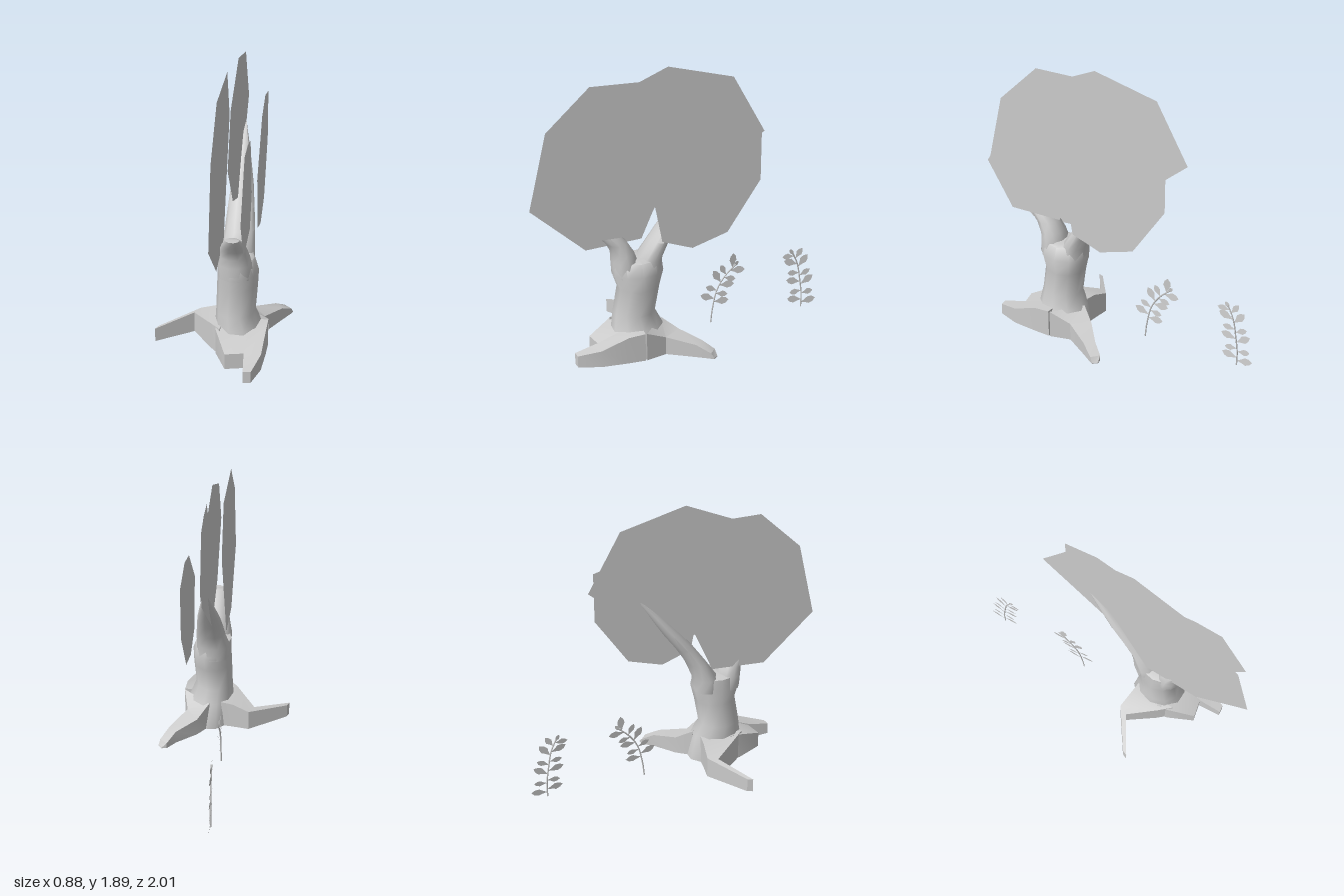
import * as THREE from 'three';
import { toCreasedNormals } from 'three/addons/utils/BufferGeometryUtils.js';

const solid = new THREE.MeshStandardMaterial({ color: 0xcccccc });
const thin = new THREE.MeshStandardMaterial({ color: 0xcccccc, side: THREE.DoubleSide });

function addMesh(parent, name, geometry, material) {
  const mesh = new THREE.Mesh(geometry, material);
  mesh.name = name;
  parent.add(mesh);
  return mesh;
}

// Skin a list of equal-length rings of [x, y, z] points and close both ends.
function loft(rings) {
  const n = rings[0].length;
  const points = rings.flat();
  const index = [];
  for (let r = 0; r < rings.length - 1; r++) {
    for (let j = 0; j < n; j++) {
      const a = r * n + j, b = r * n + (j + 1) % n;
      index.push(a, a + n, b, b, a + n, b + n);
    }
  }
  const last = (rings.length - 1) * n;
  for (let j = 1; j < n - 1; j++) {
    index.push(0, j, j + 1, last, last + j + 1, last + j);
  }
  const g = new THREE.BufferGeometry();
  g.setAttribute('position', new THREE.Float32BufferAttribute(points.flat(), 3));
  g.setIndex(index);
  g.computeVertexNormals();
  return g;
}

// Ellipse ring: height, centre x, radius x, centre z, radius z
function ellipse([y, cx, rx, cz, rz], sides = 10) {
  return Array.from({ length: sides }, (_, i) => {
    const a = (i / sides) * Math.PI * 2;
    return [cx + rx * Math.cos(a), y, cz + rz * Math.sin(a)];
  });
}
const limb = (rows) => toCreasedNormals(loft(rows.map((r) => ellipse(r))), 1.0);

// Root cross-section: two plan points and a top height
const rootSection = ([ax, az, bx, bz, top]) => [
  [ax, 0.005, az], [ax, top, az], [bx, top, bz], [bx, 0.005, bz],
];

// Flat outline of [z, y] points lying in a plane facing x
function panel(points) {
  const shape = new THREE.Shape(points.map(([z, y]) => new THREE.Vector2(-z, y)));
  return new THREE.ShapeGeometry(shape).rotateY(Math.PI / 2);
}

// Stem with pairs of small pointed leaves
function makeSprig(name, path, start, pairs) {
  const sprig = new THREE.Group();
  sprig.name = name;
  const curve = new THREE.CatmullRomCurve3(path.map(([z, y]) => new THREE.Vector3(-0.012, y, z)));
  addMesh(sprig, 'stem', new THREE.TubeGeometry(curve, 12, 0.005, 4), solid);
  const leaf = panel([[0, 0], [0.012, 0.03], [0.024, 0.052], [0.018, 0.078],
    [0, 0.098], [-0.018, 0.078], [-0.024, 0.052], [-0.012, 0.03]]);
  const addLeaf = (t, turn, size, tilt) => {
    const p = curve.getPointAt(t), d = curve.getTangentAt(t);
    const m = addMesh(sprig, 'leaf', leaf, thin);
    m.position.copy(p);
    m.rotation.set(Math.atan2(d.z, d.y) + turn, tilt, 0);
    m.scale.setScalar(size);
  };
  for (let i = 0; i < pairs; i++) {
    const t = start + (0.9 - start) * (i / (pairs - 1));
    for (const side of [-1, 1]) {
      const turn = side * (1.5 - 0.6 * (i / (pairs - 1)) + (i % 2 ? 0.15 : -0.1));
      addLeaf(Math.min(1, t + side * 0.025), turn, i % 2 ? 0.9 : 1.12, side * 0.12);
    }
  }
  addLeaf(0.94, 0.1, 0.6, 0.1);
  return sprig;
}

export function createModel() {
  const model = new THREE.Group();
  const tree = new THREE.Group();
  tree.name = 'tree';
  model.add(tree);

  // Trunk, flared at the foot
  addMesh(tree, 'trunk', limb([
    [0.005, 0.12, 0.17, 0.35, 0.21], [0.19, 0.105, 0.15, 0.345, 0.17],
    [0.28, 0.09, 0.128, 0.36, 0.14], [0.46, 0.097, 0.132, 0.33, 0.14],
    [0.565, 0.102, 0.132, 0.335, 0.172], [0.65, 0.088, 0.117, 0.335, 0.165],
    [0.66, 0.088, 0.08, 0.335, 0.12],
  ]), solid);

  // Two limbs of the fork
  addMesh(tree, 'backBranch', limb([
    [0.55, 0.09, 0.11, 0.26, 0.09], [0.65, 0.086, 0.114, 0.25, 0.084],
    [0.77, 0.095, 0.098, 0.185, 0.068], [0.89, 0.094, 0.086, 0.105, 0.062],
    [1.01, 0.092, 0.072, 0.01, 0.055], [1.165, 0.09, 0.042, -0.11, 0.035],
    [1.335, 0.087, 0.002, -0.25, 0.002],
  ]), solid);
  addMesh(tree, 'frontBranch', limb([
    [0.55, 0.09, 0.11, 0.41, 0.09], [0.65, 0.086, 0.112, 0.42, 0.085],
    [0.71, 0.086, 0.1, 0.432, 0.075], [0.78, 0.087, 0.085, 0.47, 0.07],
    [0.84, 0.088, 0.07, 0.53, 0.065], [0.9, 0.09, 0.045, 0.59, 0.035],
  ]), solid);

  // Angular roots: [ax, az, bx, bz, top]
  const roots = {
    frontWedgeRoot: [[-0.04, 0.4, 0.2, 0.38, 0.2], [-0.03, 0.48, 0.2, 0.46, 0.19],
      [0.05, 0.655, 0.17, 0.63, 0.115]],
    frontRoot: [[0.12, 0.34, 0.3, 0.35, 0.2], [0.18, 0.46, 0.295, 0.46, 0.19],
      [0.17, 0.64, 0.28, 0.64, 0.12], [0.18, 0.79, 0.23, 0.785, 0.085]],
    rightRoot: [[0.03, 0.205, 0.0, 0.5, 0.2], [-0.05, 0.195, -0.07, 0.42, 0.192],
      [-0.165, 0.175, -0.2, 0.24, 0.15], [-0.425, 0.355, -0.44, 0.39, 0.1]],
    backRoot: [[0.3, 0.34, 0.11, 0.18, 0.2], [0.265, 0.2, 0.185, 0.08, 0.13],
      [0.37, 0.03, 0.32, -0.03, 0.095], [0.425, -0.055, 0.375, -0.1, 0.045],
      [0.435, -0.075, 0.41, -0.105, 0.01]],
  };
  for (const [name, rows] of Object.entries(roots)) {
    addMesh(tree, name, toCreasedNormals(loft(rows.map(rootSection)), 0.5), solid);
  }

  // Flat foliage panels: plane x and [z, y] outline
  const foliage = {
    frontFoliage: [0, [[0.59, 1.795], [0.877, 1.53], [1.0, 1.03], [0.647, 0.71],
      [0.27, 0.735], [-0.05, 1.46], [0.07, 1.79]]],
    topFoliage: [0.073, [[0.107, 1.895], [0.52, 1.72], [0.67, 1.4], [0.4, 1.07],
      [0.03, 0.92], [-0.55, 1.4], [-0.33, 1.785]]],
    smallFoliage: [0.172, [[0.674, 1.495], [0.49, 1.495], [0.325, 1.45], [0.22, 1.05],
      [0.325, 0.845], [0.695, 0.845], [0.88, 1.15]]],
    backFoliage: [0.21, [[-0.02, 1.465], [-0.235, 1.525], [-0.47, 1.465], [-0.47, 1.125],
      [-0.246, 0.79], [-0.005, 0.715], [0.2, 0.79], [0.27, 1.16]]],
  };
  for (const [name, [x, outline]] of Object.entries(foliage)) {
    addMesh(tree, name, panel(outline), thin).position.x = x;
  }

  // Two leafy sprigs behind the tree
  model.add(makeSprig('nearSprig',
    [[-0.225, 0.02], [-0.235, 0.115], [-0.27, 0.265], [-0.33, 0.36], [-0.405, 0.43]], 0.36, 5));
  model.add(makeSprig('farSprig',
    [[-0.905, 0.02], [-0.905, 0.12], [-0.89, 0.23], [-0.865, 0.36], [-0.825, 0.45]], 0.1, 6));
  return model;
}
